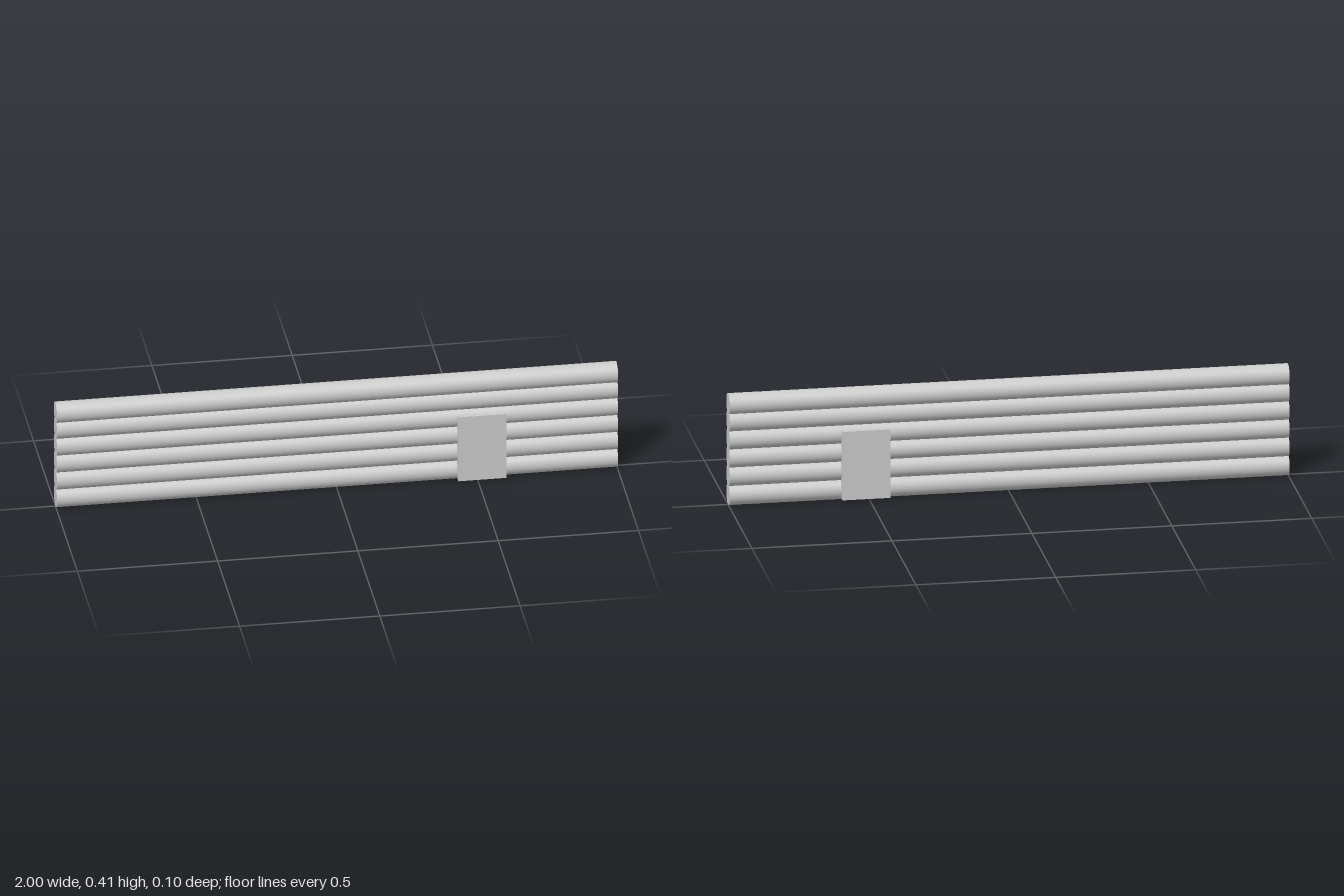
import * as THREE from 'three';

export function createModel() {
  const group = new THREE.Group();
  const material = new THREE.MeshStandardMaterial({ color: 0xcccccc });

  // Stack of horizontal round logs, slightly overlapping
  const radius = 0.038;
  const logGeometry = new THREE.CylinderGeometry(radius, radius, 2, 48).rotateZ(Math.PI / 2);
  [0.038, 0.108, 0.176, 0.243, 0.31, 0.373].forEach((y, i) => {
    const log = new THREE.Mesh(logGeometry, material);
    log.name = `log${i + 1}`;
    log.position.y = y;
    group.add(log);
  });

  // Rectangular block passing through the lower logs, proud on both faces
  const block = new THREE.Mesh(new THREE.BoxGeometry(0.172, 0.254, 0.102), material);
  block.name = 'crossBlock';
  block.position.set(0.514, 0.136, 0);
  group.add(block);

  return group;
}
